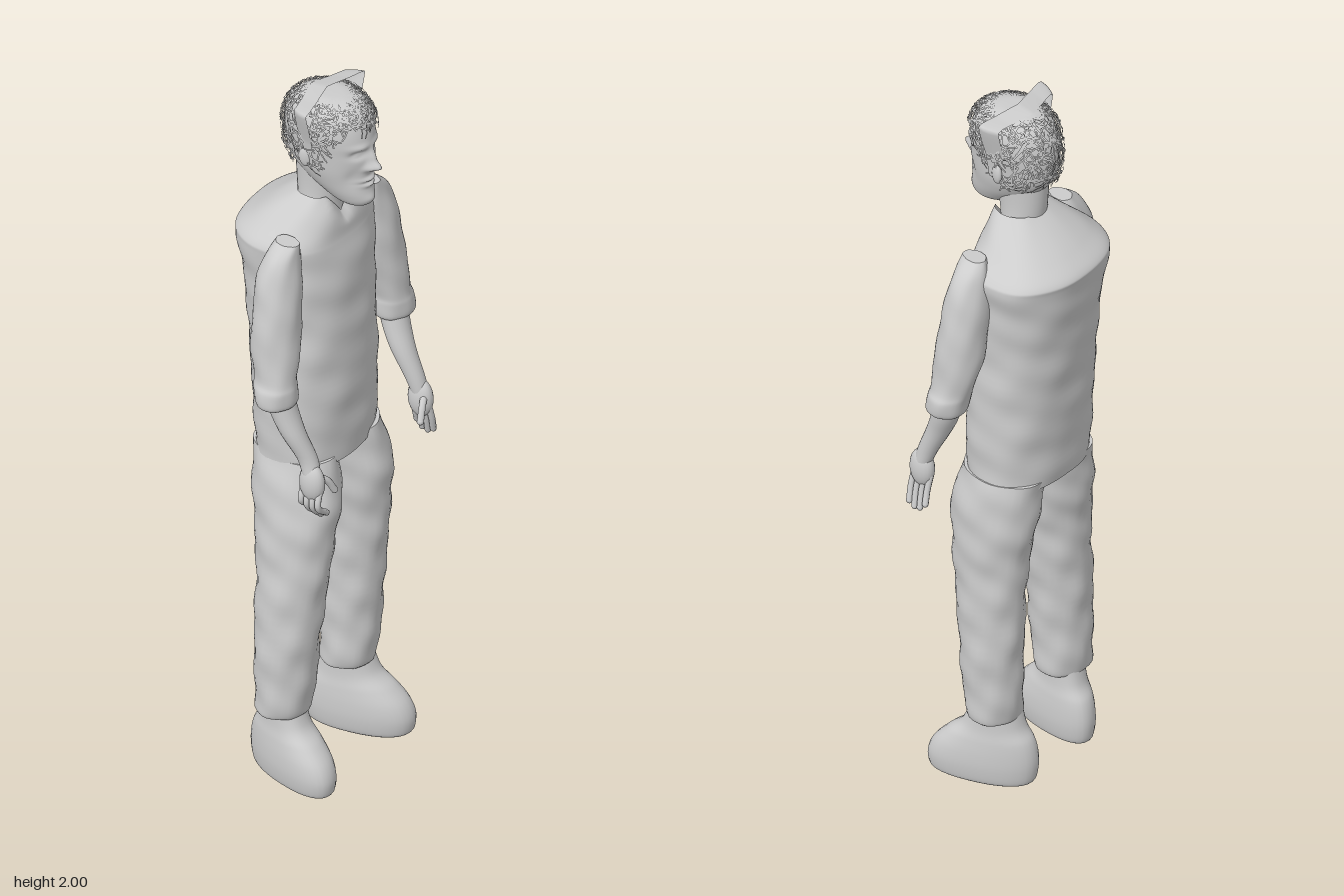
import * as THREE from 'three';
import { mergeGeometries } from 'three/addons/utils/BufferGeometryUtils.js';

const clay = new THREE.MeshStandardMaterial({ color: 0xcccccc, side: THREE.DoubleSide });
clay.name = 'clayGrey';

// Smooth interpolation through sections [y, centreX, radiusX, zBack, zFront], u in 0..1
function sectionAt(secs, u) {
  const n = secs.length - 1, f = Math.min(u * n, n - 1e-6), i = Math.floor(f), t = f - i;
  const p = k => secs[Math.min(Math.max(k, 0), n)];
  return secs[0].map((_, c) => {
    const a = p(i - 1)[c], b = p(i)[c], d = p(i + 1)[c], e = p(i + 2)[c];
    return b + 0.5 * t * (d - a + t * (2 * a - 5 * b + 4 * d - e + t * (3 * (b - d) + e - a)));
  });
}

// Point on the lofted skin; power under 1 makes the ring boxier
function skinPoint(secs, u, angle, power = 1, grow = 0) {
  const [y, cx, rx, zb, zf] = sectionAt(secs, u);
  const bend = v => Math.sign(v) * Math.abs(v) ** power;
  return new THREE.Vector3(
    cx + (rx + grow) * bend(Math.cos(angle)), y,
    (zb + zf) / 2 + ((zf - zb) / 2 + grow) * bend(Math.sin(angle)));
}

// Closed skin over horizontal sections listed from bottom to top
function loft(name, secs, { segs = 32, rows = 40, power = 1, lump = 0, capTop = true, move } = {}) {
  const pos = [], idx = [];
  for (let i = 0; i <= rows; i++) {
    for (let j = 0; j < segs; j++) {
      const a = j / segs * Math.PI * 2, p = skinPoint(secs, i / rows, a, power);
      const w = lump * (Math.sin(p.y * 37 + 2 * a) + Math.sin(p.y * 61 - 3 * a + 1) + 0.6 * Math.sin(7 * a + p.y * 23));
      p.x += w * Math.cos(a);
      p.z += w * Math.sin(a);
      if (move) move(p);
      pos.push(p.x, p.y, p.z);
      if (i < rows) {
        const b = i * segs + (j + 1) % segs, q = i * segs + j;
        idx.push(q, q + segs, b, b, q + segs, b + segs);
      }
    }
  }
  // Flat ends with their own vertices, so the rims stay sharp
  for (const top of capTop ? [0, 1] : [0]) {
    const ring = top ? rows * segs : 0, base = pos.length / 3, mid = new THREE.Vector3();
    for (let j = 0; j < segs; j++) {
      const p = new THREE.Vector3().fromArray(pos, (ring + j) * 3);
      mid.addScaledVector(p, 1 / segs);
      pos.push(p.x, p.y, p.z);
      const a = base + j, b = base + (j + 1) % segs;
      idx.push(base + segs, top ? b : a, top ? a : b);
    }
    pos.push(mid.x, mid.y, mid.z);
  }
  const g = new THREE.BufferGeometry();
  g.setAttribute('position', new THREE.Float32BufferAttribute(pos, 3));
  g.setIndex(idx);
  g.computeVertexNormals();
  return part(name, g);
}

function part(name, geometry) {
  const m = new THREE.Mesh(geometry, clay);
  m.name = name;
  return m;
}

const HEAD = [
  [1.685, 0, 0.018, 0.09, 0.14], [1.7, 0, 0.038, 0.05, 0.16], [1.725, 0, 0.053, 0.01, 0.164],
  [1.76, 0, 0.068, -0.04, 0.16], [1.8, 0, 0.08, -0.075, 0.16], [1.85, 0, 0.086, -0.088, 0.163],
  [1.9, 0, 0.091, -0.088, 0.16], [1.945, 0, 0.086, -0.075, 0.147], [1.975, 0, 0.068, -0.05, 0.122],
  [1.988, 0, 0.04, -0.02, 0.085], [1.99, 0, 0.01, 0.02, 0.04],
];

// Brow, sockets, nose, lips and chin pushed out of the front of the head
function sculptFace(p) {
  if (p.z < 0.06) return;
  const bump = (x, y, sx, sy, h) => h * Math.exp(-(((Math.abs(p.x) - x) / sx) ** 2) - ((p.y - y) / sy) ** 2);
  p.z += bump(0, 1.815, 0.014, 0.014, 0.03) + bump(0, 1.84, 0.011, 0.024, 0.016)
    + bump(0.016, 1.811, 0.008, 0.008, 0.008) + bump(0.033, 1.878, 0.024, 0.009, 0.006)
    - bump(0.034, 1.856, 0.018, 0.011, 0.013) + bump(0.033, 1.855, 0.01, 0.005, 0.006)
    + bump(0, 1.774, 0.024, 0.006, 0.009) + bump(0, 1.758, 0.02, 0.006, 0.008)
    - bump(0, 1.766, 0.026, 0.003, 0.004) + bump(0, 1.715, 0.024, 0.014, 0.006)
    - bump(0.045, 1.785, 0.014, 0.025, 0.006);
}

// Thin crossing strands laid over the scalp
function hair() {
  let seed = 7;
  const rnd = () => (seed = (seed * 16807) % 2147483647) / 2147483647;
  const pos = [], idx = [];
  for (let k = 0; k < 620; k++) {
    const a0 = rnd() * Math.PI * 2, front = Math.max(0, Math.sin(a0));
    const low = 0.4 + 0.26 * Math.min(1, front * 1.6), u0 = low + rnd() * (0.9 - low);
    const dir = rnd() * Math.PI * 2, da = Math.cos(dir) * 0.5, du = Math.sin(dir) * 0.13;
    const lift = 0.002 + rnd() * 0.009, base = pos.length / 3;
    for (let s = 0; s <= 4; s++) {
      for (const side of [-1, 1]) {
        const u = Math.min(0.93, u0 + du * (s / 4 - 0.5) + side * Math.cos(dir) * 0.005);
        const a = a0 + da * (s / 4 - 0.5) - side * Math.sin(dir) * 0.018;
        const p = skinPoint(HEAD, u, a, 1, lift + 0.003 * (s % 2));
        pos.push(p.x, p.y, p.z);
      }
      const q = base + s * 2;
      if (s < 4) idx.push(q, q + 2, q + 1, q + 1, q + 2, q + 3);
    }
  }
  const g = new THREE.BufferGeometry();
  g.setAttribute('position', new THREE.Float32BufferAttribute(pos, 3));
  g.setIndex(idx);
  g.computeVertexNormals();
  return part('hairStrands', g);
}

// Ribbon from ear to ear, flaring to points at the upper corners
function headBand() {
  const side = [[0.09, 1.82], [0.1, 1.89], [0.126, 1.985], [0.07, 1.992], [0, 1.998]];
  const pts = [...side, ...side.slice(0, 4).reverse().map(([x, y]) => [-x, y])];
  const path = new THREE.CatmullRomCurve3(pts.map(([x, y]) => new THREE.Vector3(x, y, 0)), false, 'catmullrom', 0.2);
  const g = new THREE.PlaneGeometry(1, 1, 48, 4), at = g.attributes.position;
  for (let i = 0; i < at.count; i++) {
    const p = path.getPoint(at.getX(i) + 0.5), back = 0.5 - at.getY(i);
    const front = 0.028 + 0.025 * Math.min(1, Math.abs(p.x) / 0.11);
    at.setXYZ(i, p.x * (1 - 0.14 * back * back), p.y - 0.008 * back, front - back * 0.05);
  }
  g.computeVertexNormals();
  return part('headBand', g);
}

// Palm with four bent fingers and a thumb
function hand(name, s, cx, lean) {
  const palm = new THREE.SphereGeometry(1, 20, 14).scale(0.025, 0.055, 0.036).translate(cx, 0.965, 0.142);
  const tube = (pts, r) => {
    const v = pts.map(p => new THREE.Vector3(...p));
    return [new THREE.TubeGeometry(new THREE.CatmullRomCurve3(v), 10, r, 8),
      new THREE.SphereGeometry(r, 8, 6).translate(...pts[pts.length - 1])];
  };
  const geos = [palm];
  for (let f = 0; f < 4; f++) {
    const z = 0.115 + f * 0.017, len = [0.075, 0.092, 0.095, 0.085][f];
    geos.push(...tube([[cx, 0.95, z], [cx + s * 0.012, 0.93 - len * 0.3, z + 0.002],
      [cx + lean, 0.95 - len, z - 0.002]], 0.0085));
  }
  geos.push(...tube([[cx, 0.985, 0.155], [cx - s * 0.028, 0.965, 0.168], [cx - s * 0.048, 0.93, 0.176]], 0.0095));
  return part(name, mergeGeometries(geos));
}

export function createModel() {
  const model = new THREE.Group();
  model.name = 'standingMan';

  // Shirt with a notch dipping at the front of the neck
  model.add(loft('shirt', [
    [0.93, 0, 0.176, -0.13, 0.115], [1.05, 0, 0.178, -0.138, 0.122], [1.2, 0, 0.178, -0.15, 0.122],
    [1.35, 0.003, 0.175, -0.165, 0.118], [1.48, 0.005, 0.182, -0.182, 0.112], [1.56, 0.007, 0.192, -0.194, 0.102],
    [1.585, 0.006, 0.187, -0.192, 0.098], [1.62, 0.003, 0.153, -0.15, 0.092],
    [1.66, 0, 0.113, -0.095, 0.082], [1.7, 0, 0.07, -0.042, 0.07],
  ], {
    segs: 64, rows: 72, power: 0.86, lump: 0.0014, capTop: false,
    move: p => {
      const dip = Math.max(0, 1 - Math.abs(p.x) / 0.045);
      if (p.z > 0.03 && p.y > 1.6) p.y -= 0.06 * dip * (p.y - 1.6) / 0.1;
    },
  }));

  // Head and neck
  const head = new THREE.Group();
  head.name = 'head';
  head.add(
    loft('face', HEAD, { segs: 96, rows: 110, move: sculptFace }),
    loft('neck', [[1.58, 0, 0.075, -0.06, 0.07], [1.66, 0, 0.06, -0.05, 0.066], [1.72, 0, 0.056, -0.055, 0.075], [1.8, 0, 0.06, -0.06, 0.09]], { rows: 12 }),
    hair(), headBand());
  for (const s of [-1, 1]) {
    const ear = part('ear', new THREE.SphereGeometry(1, 16, 12).scale(0.01, 0.03, 0.018));
    ear.position.set(s * 0.088, 1.835, 0.025);
    ear.rotation.y = s * -0.3;
    head.add(ear);
  }
  model.add(head);

  // Arms: rolled sleeve, forearm and hand on each side
  for (const s of [-1, 1]) {
    const side = s > 0 ? 'left' : 'right', wristX = s > 0 ? 0.24 : -0.222;
    model.add(
      loft(side + 'Sleeve', [
        [1.185, s * 0.25, 0.045, 0.012, 0.092], [1.198, s * 0.25, 0.056, 0.002, 0.104], [1.235, s * 0.248, 0.057, -0.006, 0.104],
        [1.265, s * 0.242, 0.052, -0.012, 0.1], [1.35, s * 0.227, 0.063, -0.03, 0.096], [1.45, s * 0.212, 0.066, -0.032, 0.088],
        [1.53, s * 0.2, 0.063, -0.03, 0.078], [1.59, s * 0.186, 0.049, -0.018, 0.068], [1.625, s * 0.172, 0.024, -0.004, 0.062],
      ], { lump: 0.001 }),
      loft(side + 'Forearm', [
        [0.98, wristX, 0.022, 0.118, 0.165], [1.03, wristX - s * 0.004, 0.025, 0.097, 0.152],
        [1.1, s * 0.233, 0.032, 0.06, 0.126], [1.16, s * 0.238, 0.037, 0.032, 0.105], [1.22, s * 0.243, 0.038, 0.015, 0.09],
      ], { segs: 20, rows: 16 }),
      hand(side + 'Hand', s, wristX, s > 0 ? 0.024 : 0.03));
  }

  // Trouser legs, the right one standing a little wider
  model.add(
    loft('rightTrouserLeg', [
      [0.2, -0.162, 0.072, -0.055, 0.075], [0.23, -0.16, 0.079, -0.06, 0.085], [0.4, -0.156, 0.083, -0.066, 0.1],
      [0.6, -0.139, 0.086, -0.075, 0.118], [0.72, -0.126, 0.088, -0.088, 0.13], [0.83, -0.11, 0.093, -0.108, 0.135], [0.95, -0.088, 0.087, -0.12, 0.11],
    ], { lump: 0.0017, rows: 60 }),
    loft('leftTrouserLeg', [
      [0.2, 0.112, 0.068, -0.055, 0.075], [0.23, 0.114, 0.075, -0.06, 0.085], [0.4, 0.118, 0.078, -0.066, 0.1],
      [0.6, 0.116, 0.08, -0.075, 0.118], [0.72, 0.113, 0.085, -0.088, 0.13], [0.83, 0.106, 0.093, -0.108, 0.135], [0.95, 0.092, 0.088, -0.12, 0.11],
    ], { lump: 0.0017, rows: 60 }));

  // Shoes, turned outwards and narrower at the heel
  for (const [name, x, turn] of [['rightShoe', -0.157, -0.18], ['leftShoe', 0.108, 0.26]]) {
    model.add(loft(name, [
      [0, x, 0.05, -0.07, 0.165], [0.012, x, 0.06, -0.088, 0.177], [0.05, x, 0.066, -0.096, 0.18], [0.09, x, 0.066, -0.095, 0.165],
      [0.13, x, 0.062, -0.085, 0.13], [0.17, x, 0.056, -0.062, 0.088], [0.24, x, 0.054, -0.045, 0.062],
    ], {
      power: 0.88,
      move: p => { p.x = x + (p.x - x) * (0.95 + p.z * 0.5) + turn * p.z; },
    }));
  }
  return model;
}
